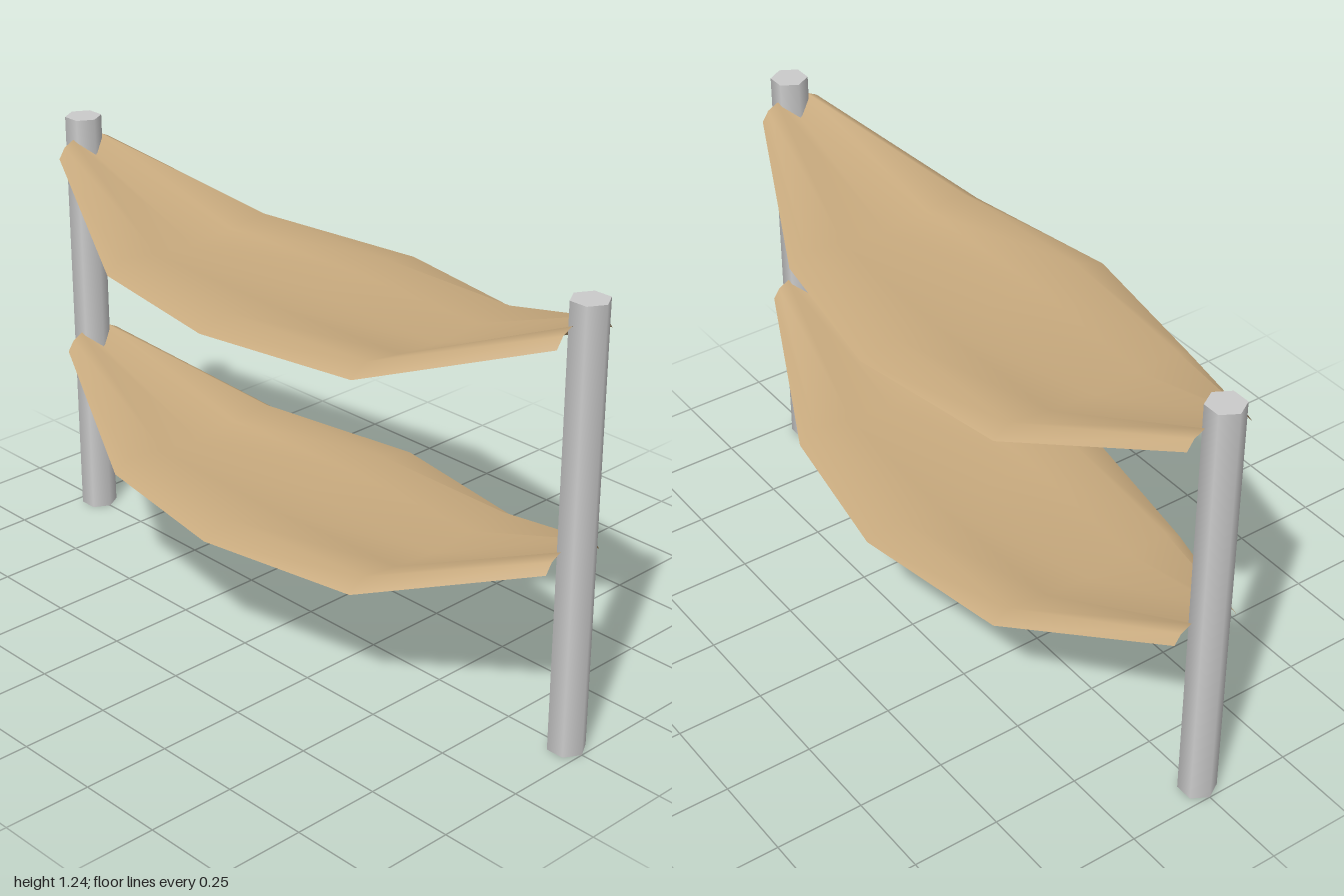
import * as THREE from 'three';

// Cross-sections along x: [z, y] from the rim, over the rolled ridge, to the sagging middle
const END = [[0.1, 1.13], [0.08, 1.16], [0.048, 1.176], [0, 1.145]];
const FOLD = [[0.31, 0.966], [0.26, 1.0], [0.14, 0.985], [0, 0.972]];
const CENTRE = [[0.39, 0.966], [0.3, 1.0], [0.16, 0.985], [0, 0.972]];
const STATIONS = [[-0.937, END], [-0.47, FOLD], [0, CENTRE], [0.47, FOLD], [0.937, END]];

// Mirror half a section to run from -z to +z
function fullSection(half) {
  return [...half.slice(0, -1).map(([z, y]) => [-z, y]), ...[...half].reverse()];
}

function slingGeometry() {
  const positions = [];
  const indices = [];
  const rows = END.length * 2 - 1;
  for (const [x, half] of STATIONS) {
    fullSection(half).forEach(([z, y], j) => {
      // the back ridge relaxes slightly mid-span
      const relaxed = x === 0 && j === 1;
      positions.push(x, relaxed ? 0.99 : y, relaxed ? -0.28 : z);
    });
  }
  for (let i = 0; i < STATIONS.length - 1; i++) {
    for (let j = 0; j < rows - 1; j++) {
      const a = i * rows + j;
      const c = a + rows;
      indices.push(a, a + 1, c, a + 1, c + 1, c);
    }
  }
  const geometry = new THREE.BufferGeometry();
  geometry.setAttribute('position', new THREE.Float32BufferAttribute(positions, 3));
  geometry.setIndex(indices);
  geometry.computeVertexNormals();
  return geometry;
}

export function createModel() {
  const model = new THREE.Group();
  model.name = 'bunkHammock';
  const grey = new THREE.MeshStandardMaterial({ color: 0xcccccc });
  const canvas = new THREE.MeshStandardMaterial({ color: 0xc8aa7e, side: THREE.DoubleSide });

  // Six-sided posts with corners pointing along x
  const height = 1.235;
  const postGeometry = new THREE.CylinderGeometry(0.052, 0.052, height, 6, 1, false, Math.PI / 2);
  for (const [name, side] of [['leftPost', 1], ['rightPost', -1]]) {
    const post = new THREE.Mesh(postGeometry, grey);
    post.name = name;
    post.position.set(side * 0.948, height / 2, 0);
    model.add(post);
  }

  // Two identical cloth slings, one above the other
  const cloth = slingGeometry();
  for (const [name, drop] of [['upperHammock', 0], ['lowerHammock', 0.598]]) {
    const sling = new THREE.Mesh(cloth, canvas);
    sling.name = name;
    sling.position.y = -drop;
    model.add(sling);
  }
  return model;
}
